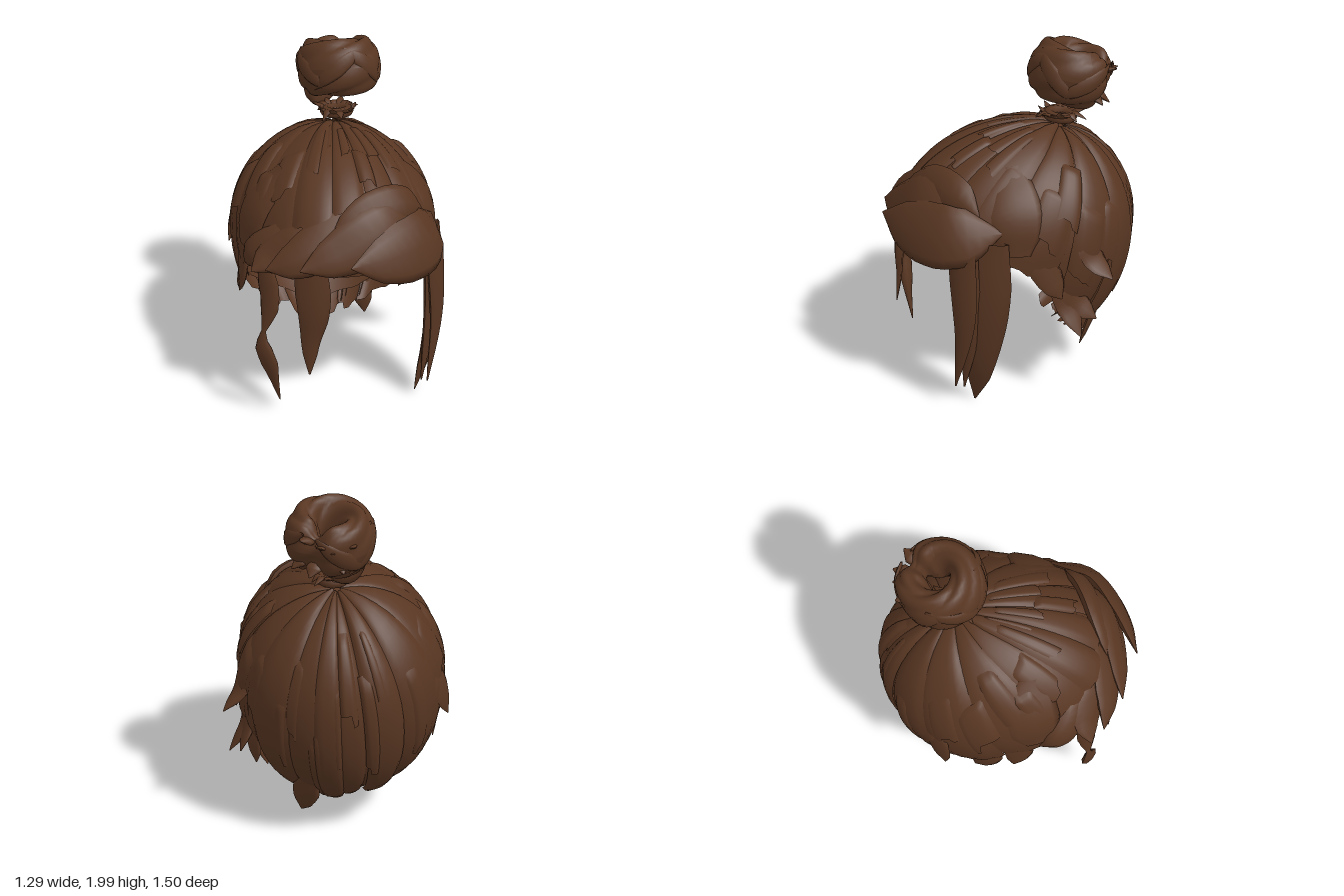
import * as THREE from 'three';

const brown = new THREE.MeshStandardMaterial({ color: 0x583622, side: THREE.DoubleSide });
brown.name = 'dark brown hair';

// Small seeded random
let seed = 11;
const rnd = (a = 0, b = 1) => {
  seed = (seed * 16807) % 2147483647;
  return a + (b - a) * (seed / 2147483647);
};
const rad = THREE.MathUtils.degToRad;
const lerp = THREE.MathUtils.lerp;
const V = (p) => new THREE.Vector3(...p);

// Surface from a rule f(u, v) -> Vector3 with u, v in 0..1
function grid(f, nu, nv) {
  const pos = [], idx = [];
  for (let i = 0; i <= nu; i++)
    for (let j = 0; j <= nv; j++) {
      const p = f(i / nu, j / nv);
      pos.push(p.x, p.y, p.z);
      if (i < nu && j < nv) {
        const a = i * (nv + 1) + j, b = a + nv + 1;
        idx.push(a, b, a + 1, b, b + 1, a + 1);
      }
    }
  const g = new THREE.BufferGeometry();
  g.setAttribute('position', new THREE.Float32BufferAttribute(pos, 3));
  g.setIndex(idx);
  g.computeVertexNormals();
  return g;
}

function add(group, name, geometry) {
  const m = new THREE.Mesh(geometry, brown);
  m.name = name;
  group.add(m);
}

// Pointed lock: a lens-shaped section swept along a curve, facing away from an
// axis at (x, z); drop tilts the face upwards
function blade(points, widths, thick, drop = 0.1, x = -0.05, z = 0) {
  const curve = new THREE.CatmullRomCurve3(points.map(V));
  const n = widths.length - 1;
  return grid((u, v) => {
    const p = curve.getPoint(u), t = curve.getTangent(u);
    const c = new THREE.Vector3(x, p.y - drop, z);
    const side = new THREE.Vector3().crossVectors(t, p.clone().sub(c)).normalize();
    const out = new THREE.Vector3().crossVectors(side, t).normalize();
    const k = Math.min(Math.floor(u * n), n - 1);
    const w = lerp(widths[k], widths[k + 1], u * n - k);
    const a = v * Math.PI * 2, h = thick * Math.min(1, w / Math.max(...widths) + 0.05);
    return p.addScaledVector(side, Math.cos(a) * w).addScaledVector(out, Math.sin(a) * h);
  }, 14, 8);
}

// Lower hair edge: height for each angle from the front
const hem = [[0, 1.3], [35, 1.2], [55, 0.97], [70, 0.9], [85, 0.7], [100, 0.47], [118, 0.33], [140, 0.23], [180, 0.19]];
function hemHeight(deg) {
  const d = Math.abs(((deg + 540) % 360) - 180);
  const k = Math.max(1, hem.findIndex((h) => h[0] >= d));
  const [a, b] = [hem[k - 1], hem[k]];
  return lerp(a[1], b[1], (d - a[0]) / (b[0] - a[0]));
}

// Point on the head: t runs from the hair tie to the hem, s scales outwards
const pole = new THREE.Vector3(0.08, 0.95, -0.29).normalize();
function headPoint(deg, t, s) {
  const dy = hemHeight(deg) - 0.9;
  const y = dy / (dy > 0 ? 0.64 : 0.75), r = Math.sqrt(1 - y * y);
  const end = new THREE.Vector3(r * Math.sin(rad(deg)), y, r * Math.cos(rad(deg)));
  const ang = pole.angleTo(end);
  const d = pole.clone().multiplyScalar(Math.sin((1 - t) * ang))
    .addScaledVector(end, Math.sin(t * ang)).divideScalar(Math.sin(ang)).multiplyScalar(s);
  return new THREE.Vector3(-0.045 + d.x * 0.595, 0.9 + d.y * (d.y > 0 ? 0.63 : 0.75), -0.12 + d.z * (d.z > 0 ? 0.8 : 0.62));
}

// Combed lock on the head with a domed section and blocky stepped ends
function headLock(deg, width, t0, t1, lift, bulge) {
  const cols = 8, ends = Array.from({ length: 3 }, () => rnd(-0.05, 0.03));
  const tilt = rnd(-0.012, 0.016);
  return grid((u, v) => {
    const w = v * 2 - 1;
    const t = t0 + (t1 + ends[Math.min(2, Math.floor(v * 3))] - t0) * u;
    const s = lift + bulge * (1 - w ** 4) * Math.min(1, u * 6 + 0.2) + tilt * w;
    return headPoint(deg + w * width * (1 - 0.15 * u * u), t, s);
  }, 18, cols);
}

export function createModel() {
  seed = 11;
  const model = new THREE.Group();
  model.name = 'hair';

  // Swept-up cap: under layer, wide long locks, then short overlapping locks
  const cap = new THREE.Group();
  cap.name = 'cap';
  model.add(cap);
  add(cap, 'capBase', grid((u, v) => headPoint(v * 360 - 180, u * 0.95, 0.955), 20, 60));
  for (let i = 0; i < 15; i++)
    add(cap, 'longLock', headLock(i * 24 + rnd(-3, 3), rnd(13, 16), 0.02, rnd(0.98, 1.04), rnd(0.96, 0.985), rnd(0.025, 0.04)));
  for (let i = 0; i < 26; i++) {
    const t0 = rnd(0.15, 0.6);
    add(cap, 'shortLock', headLock(i * 13.8 + rnd(-5, 5), rnd(5, 9), t0, t0 + rnd(0.25, 0.4), rnd(0.97, 0.99), 0.035));
  }

  // Swept fringe, sloping forwards over a recessed backing
  const fringe = new THREE.Group();
  fringe.name = 'fringe';
  model.add(fringe);
  add(fringe, 'fringeBase', grid((u, v) => {
    const a = rad(-80 + 155 * v), k = Math.min(1, u / 0.6), d = Math.max(0, (u - 0.6) / 0.4);
    const s = 0.7 + 0.3 * k - 0.02 * d;
    return new THREE.Vector3(-0.05 + 0.49 * (0.4 + 0.6 * s) * Math.sin(a), 1.27 - 0.2 * k - 0.14 * d, 0.13 + 0.46 * s * Math.cos(a));
  }, 10, 24));
  const full = [0.07, 0.85, 1, 0.95, 0.65, 0.02];
  [
    [0.18, [0.46, 1.1, 0.24], [0.37, 1.08, 0.5], [0.15, 1.07, 0.65], [-0.1, 1.07, 0.74]],
    [0.15, [0.35, 1.2, 0.36], [0.12, 1.2, 0.55], [-0.13, 1.1, 0.62], [-0.36, 1.03, 0.65]],
    [0.13, [0.15, 1.27, 0.42], [-0.15, 1.17, 0.53], [-0.35, 1.06, 0.56], [-0.53, 1.0, 0.54]],
    [0.12, [-0.05, 1.26, 0.44], [-0.32, 1.11, 0.48], [-0.48, 1.02, 0.44], [-0.6, 0.96, 0.47]],
    [0.11, [0.38, 1.18, 0.34], [0.22, 1.28, 0.44], [0, 1.26, 0.52], [-0.2, 1.13, 0.6]],
    [0.1, [-0.27, 1.23, 0.38], [-0.47, 1.07, 0.36], [-0.57, 0.98, 0.28], [-0.59, 0.88, 0.17]],
  ].forEach(([w, ...pts]) => add(fringe, 'fringeLock', blade(pts, full.map((f) => f * w), 0.045, 0.27)));

  // Wide locks swept down over the temples
  for (const s of [-1, 1])
    add(fringe, 'templeLock', blade([
      [s * 0.31 - 0.045, 1.39, 0.12], [s * 0.48 - 0.045, 1.18, 0.14], [s * 0.54 - 0.045, 0.96, 0.16],
    ], [0.07, 0.13, 0.15, 0.14, 0.08], 0.035, 0.3));

  // Loose strands framing the face
  const strands = new THREE.Group();
  strands.name = 'looseStrands';
  model.add(strands);
  [
    [[0.11, 0.13, 0.12, 0.1, 0.07, 0.005], [0.45, 1.05, 0.31], [0.47, 0.65, 0.33], [0.43, 0.3, 0.36], [0.36, 0.01, 0.37]],
    [[0.08, 0.08, 0.07, 0.05, 0.03, 0.005], [0.43, 1.0, 0.46], [0.45, 0.55, 0.46], [0.4, 0.15, 0.5]],
    [[0.07, 0.07, 0.06, 0.05, 0.03, 0.005], [0.42, 0.98, 0.43], [0.42, 0.5, 0.42], [0.38, 0.12, 0.44]],
    [[0.09, 0.1, 0.085, 0.06, 0.04, 0.005], [-0.29, 1.02, 0.57], [-0.28, 0.75, 0.6], [-0.3, 0.55, 0.6], [-0.31, 0.36, 0.62]],
    [[0.05, 0.07, 0.06, 0.015, 0.06, 0.06, 0.03, 0.004], [-0.52, 1.0, 0.42], [-0.5, 0.75, 0.46], [-0.55, 0.52, 0.48], [-0.51, 0.35, 0.49], [-0.46, 0.12, 0.48]],
  ].forEach(([w, ...pts]) => add(strands, 'strand', blade(pts, w, 0.03)));

  // Flicked tips at the sides and nape
  const flicks = new THREE.Group();
  flicks.name = 'flickedTips';
  model.add(flicks);
  [
    [[0.5, 1.02, -0.24], [0.54, 0.88, -0.28], [0.64, 0.79, -0.35]],
    [[0.49, 0.78, -0.1], [0.51, 0.6, -0.14], [0.61, 0.44, -0.18]],
    [[0.5, 0.95, 0.05], [0.53, 0.8, -0.02], [0.56, 0.68, -0.08]],
    [[0.49, 0.75, -0.12], [0.5, 0.6, -0.2], [0.55, 0.5, -0.3]],
    [[0.47, 0.66, -0.2], [0.47, 0.52, -0.24], [0.46, 0.4, -0.26]],
    [[-0.52, 1.0, -0.42], [-0.58, 0.88, -0.4], [-0.63, 0.72, -0.37]],
    [[-0.58, 0.95, 0.05], [-0.6, 0.75, 0.06], [-0.62, 0.6, 0.03]],
    [[-0.57, 0.75, -0.1], [-0.59, 0.62, -0.14], [-0.58, 0.48, -0.2]],
    [[0.17, 0.4, -0.5], [0.2, 0.26, -0.42], [0.21, 0.13, -0.36]],
  ].forEach((pts) => add(flicks, 'flick', blade(pts, [0.06, 0.09, 0.08, 0.06, 0.005], 0.02)));

  // Hair tie with a ragged ring of short ends
  const tie = new THREE.Group();
  tie.name = 'hairTie';
  model.add(tie);
  add(tie, 'tieRing', new THREE.TorusGeometry(0.07, 0.03, 6, 14).rotateX(Math.PI / 2 - 0.12).translate(0.02, 1.55, -0.29));
  for (let i = 0; i < 16; i++) {
    const a = i * 0.3927, c = Math.cos(a), s = Math.sin(a), r = rnd(0.11, 0.16);
    add(tie, 'shortEnd', blade([[0.02 + c * 0.04, 1.54, -0.29 + s * 0.04], [0.02 + c * 0.09, 1.57, -0.29 + s * 0.09],
      [0.02 + c * r, 1.56 + rnd(-0.04, 0.05), -0.29 + s * r]], [0.02, 0.028, 0.003], 0.01, 0.3, 0, -0.28));
  }

  // Coiled bun: a tall twisted ring, pinched at the back, with a hanging loop
  const bun = new THREE.Group();
  bun.name = 'bun';
  bun.position.set(0.04, 1.805, -0.345);
  bun.rotation.x = -0.25;
  model.add(bun);
  add(bun, 'coil', grid((u, v) => {
    const a = u * Math.PI * 2, b = v * Math.PI * 2;
    const pinch = 1 - 0.5 * Math.exp(-(((a - 5.3) / 0.3) ** 2));
    const ridge = 0.9 + 0.12 * Math.abs(Math.sin(3 * b + 2 * a));
    const R = 0.15 + 0.09 * pinch * ridge * Math.cos(b);
    return new THREE.Vector3(Math.cos(a) * R, 0.16 * pinch * ridge * Math.sin(b), Math.sin(a) * R);
  }, 48, 36));
  for (let i = 0; i < 6; i++) {
    const pts = [];
    for (let k = 0; k <= 5; k++) {
      const a = i * 0.9 - 0.7 + k * 0.28, y = (k / 5 - 0.5) * (i % 2 ? 0.22 : -0.22);
      const R = 0.15 + 0.08 * Math.sqrt(1 - (y / 0.16) ** 2);
      pts.push([Math.cos(a) * R, y, Math.sin(a) * R]);
    }
    add(bun, 'wrappedLock', blade(pts, [0.01, 0.04, 0.05, 0.04, 0.01], 0.018, 0, 0));
  }
  // Loose ends at the back of the bun
  for (let i = 0; i < 7; i++) {
    const a = rad(245 + i * 14), y = rnd(-0.1, 0.08), c = Math.cos(a), s = Math.sin(a);
    add(bun, 'bunEnd', blade([[c * 0.14, y * 0.6, s * 0.14], [c * 0.2, y, s * 0.2], [c * 0.25, y * 1.3, s * 0.25]],
      [0.03, 0.045, 0.004], 0.02, 0.5, 0));
  }
  add(bun, 'hangingLoop', blade([[-0.18, 0, -0.02], [-0.16, -0.12, -0.06], [-0.1, -0.17, -0.11], [0.0, -0.15, -0.15]],
    [0.06, 0.08, 0.07, 0.03], 0.035, 0, 0));

  return model;
}
